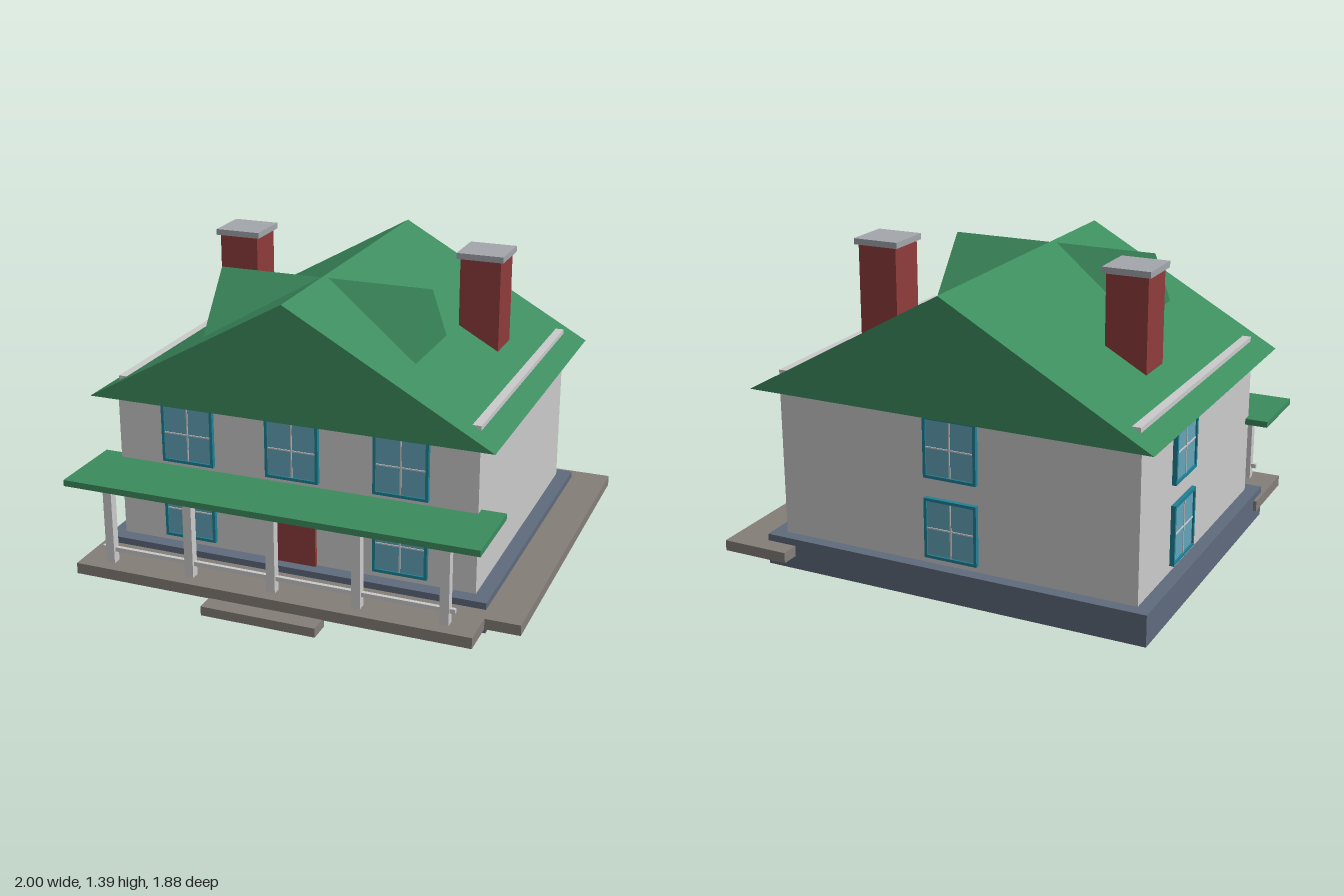
import * as THREE from 'three';

const CX = -0.0625; // centre line of the house
const mat = (color) => new THREE.MeshStandardMaterial({ color, flatShading: true });
const GREY = mat(0xcccccc), GREEN = mat(0x3c8c5e), RED = mat(0x8f3c3c), SLATE = mat(0x5f6b7d);
const DECK = mat(0x857f79), CAP = mat(0xa3a7ac), FRAME = mat(0x1f8296), GLASS = mat(0x64a5ba);

// Box given by its limits on each axis
function box(parent, name, material, [x0, x1], [y0, y1], [z0, z1]) {
  const mesh = new THREE.Mesh(new THREE.BoxGeometry(x1 - x0, y1 - y0, z1 - z0), material);
  mesh.position.set((x0 + x1) / 2, (y0 + y1) / 2, (z0 + z1) / 2);
  mesh.name = name;
  parent.add(mesh);
  return mesh;
}

// Triangular prism, extruded along +z
function gable(name, halfWidth, height, depth) {
  const shape = new THREE.Shape([
    new THREE.Vector2(-halfWidth, 0),
    new THREE.Vector2(halfWidth, 0),
    new THREE.Vector2(0, height),
  ]);
  const mesh = new THREE.Mesh(new THREE.ExtrudeGeometry(shape, { depth, bevelEnabled: false }), GREEN);
  mesh.name = name;
  return mesh;
}

// Window facing +z, its back on the wall at local z = 0
function makeWindow(name) {
  const g = new THREE.Group();
  g.name = name;
  const w = 0.1225, h = 0.135, t = 0.013;
  box(g, 'pane', GLASS, [-w + t, w - t], [-h + t, h - t], [0, 0.012]);
  for (const s of [-1, 1]) {
    const side = box(g, 'frameSide', FRAME, [-t / 2, t / 2], [-h, h], [0, 0.02]);
    side.position.x = s * (w - t / 2);
    const rail = box(g, 'frameRail', FRAME, [-w + t, w - t], [-t / 2, t / 2], [0, 0.02]);
    rail.position.y = s * (h - t / 2);
  }
  box(g, 'mullion', GREY, [-0.003, 0.003], [-h + t, h - t], [0.01, 0.016]);
  box(g, 'crossBar', GREY, [-w + t, w - t], [-0.003, 0.003], [0.01, 0.016]);
  return g;
}

export function createModel() {
  const house = new THREE.Group();
  house.name = 'house';

  // Base and walls
  box(house, 'foundation', SLATE, [-0.955, 0.83], [0, 0.14], [-0.86, 0.615]);
  box(house, 'walls', GREY, [-0.895, 0.765], [0.14, 0.83], [-0.805, 0.55]);

  // Main roof, with its ridge along z
  const roof = gable('roof', 0.917, 0.515, 1.54);
  roof.position.set(CX, 0.82, -0.895);
  house.add(roof);

  // Dormers, chimneys and gutters on both slopes
  for (const s of [-1, 1]) {
    const dormer = gable('dormer', 0.205, 0.265, 0.49);
    dormer.rotation.y = s * Math.PI / 2;
    dormer.position.set(CX, 1.06, 0.18);
    house.add(dormer);

    const chimney = new THREE.Group();
    chimney.name = 'chimney';
    chimney.position.set(CX + s * 0.585, 0, -0.285);
    box(chimney, 'stack', RED, [-0.0925, 0.0925], [0.9, 1.37], [-0.0925, 0.0925]);
    box(chimney, 'cap', CAP, [-0.107, 0.107], [1.365, 1.392], [-0.107, 0.107]);
    house.add(chimney);

    const gx = CX + s * 0.806;
    box(house, 'gutter', GREY, [gx - 0.021, gx + 0.021], [0.868, 0.892], [-0.805, 0.545]);
  }

  // Windows: three above and two below in front, one column at the back and left
  const upper = 0.665, lower = 0.305;
  const addWindow = (name, x, y, z, turn) => {
    const win = makeWindow(name);
    win.position.set(x, y, z);
    win.rotation.y = turn;
    house.add(win);
  };
  for (const s of [-1, 0, 1]) {
    addWindow('frontWindow', CX + s * 0.4925, upper, 0.55, 0);
    if (s) addWindow('frontWindow', CX + s * 0.4925, lower, 0.55, 0);
  }
  for (const y of [upper, lower]) {
    addWindow('backWindow', CX, y, -0.805, Math.PI);
    addWindow('sideWindow', -0.895, y, -0.335, -Math.PI / 2);
  }

  // Front door
  box(house, 'door', RED, [-0.17, 0.045], [0.14, 0.485], [0.545, 0.567]);

  // Porch
  const porch = new THREE.Group();
  porch.name = 'porch';
  house.add(porch);
  box(porch, 'deck', DECK, [-0.97, 0.845], [0.06, 0.11], [0.5, 0.86]);
  box(porch, 'step', DECK, [-0.325, 0.197], [0.02, 0.062], [0.84, 0.94]);
  box(porch, 'porchRoof', GREEN, [-1, 0.873], [0.48, 0.508], [0.505, 0.873]);
  box(porch, 'railing', GREY, [-0.875, 0.75], [0.163, 0.183], [0.773, 0.791]);
  for (let i = -2; i <= 2; i++) {
    const x = CX + i * 0.385;
    box(porch, 'post', GREY, [x - 0.02, x + 0.02], [0.11, 0.48], [0.762, 0.802]);
  }

  // Walkway along the left side
  box(house, 'walkway', DECK, [0.69, 1], [0.061, 0.109], [-0.943, 0.688]);

  return house;
}
